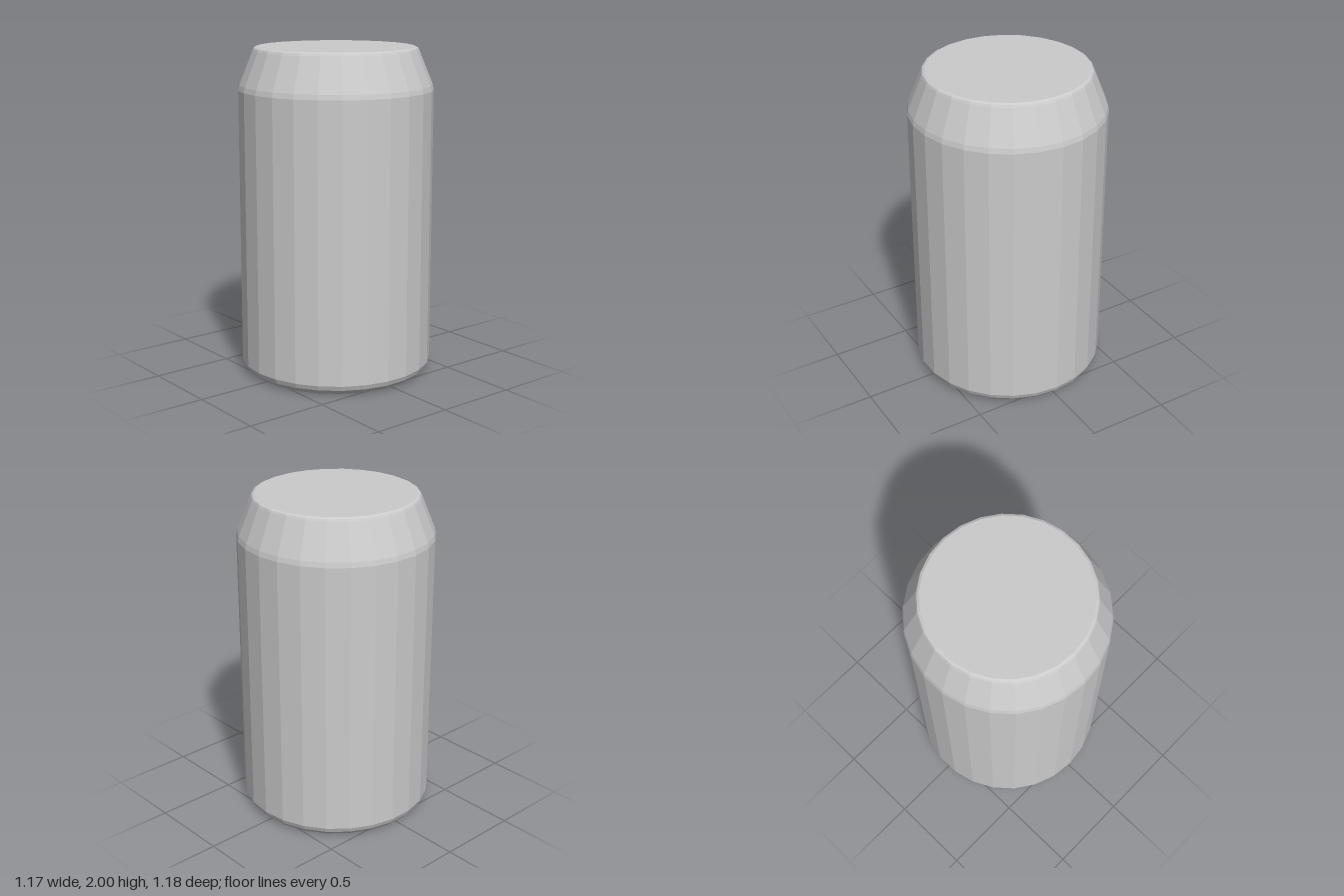
import * as THREE from 'three';

const SIDES = 26;

export function createModel() {
  const group = new THREE.Group();
  group.name = 'can';
  const material = new THREE.MeshStandardMaterial({ color: 0xcccccc, flatShading: true });

  // Each part is a section of the turned profile, given as [radius, height] from bottom to top.
  const parts = {
    base: [[0, 0], [0.535, 0], [0.555, 0.01], [0.578, 0.035], [0.59, 0.065]],
    wall: [[0.59, 0.065], [0.59, 1.745]],
    shoulder: [[0.59, 1.745], [0.583, 1.775], [0.5, 1.98]],
    lid: [[0.5, 1.98], [0.493, 1.993], [0.478, 2], [0, 2]],
  };

  for (const [name, profile] of Object.entries(parts)) {
    const points = profile.map(([r, y]) => new THREE.Vector2(r, y));
    const mesh = new THREE.Mesh(new THREE.LatheGeometry(points, SIDES), material);
    mesh.name = name;
    group.add(mesh);
  }
  return group;
}
